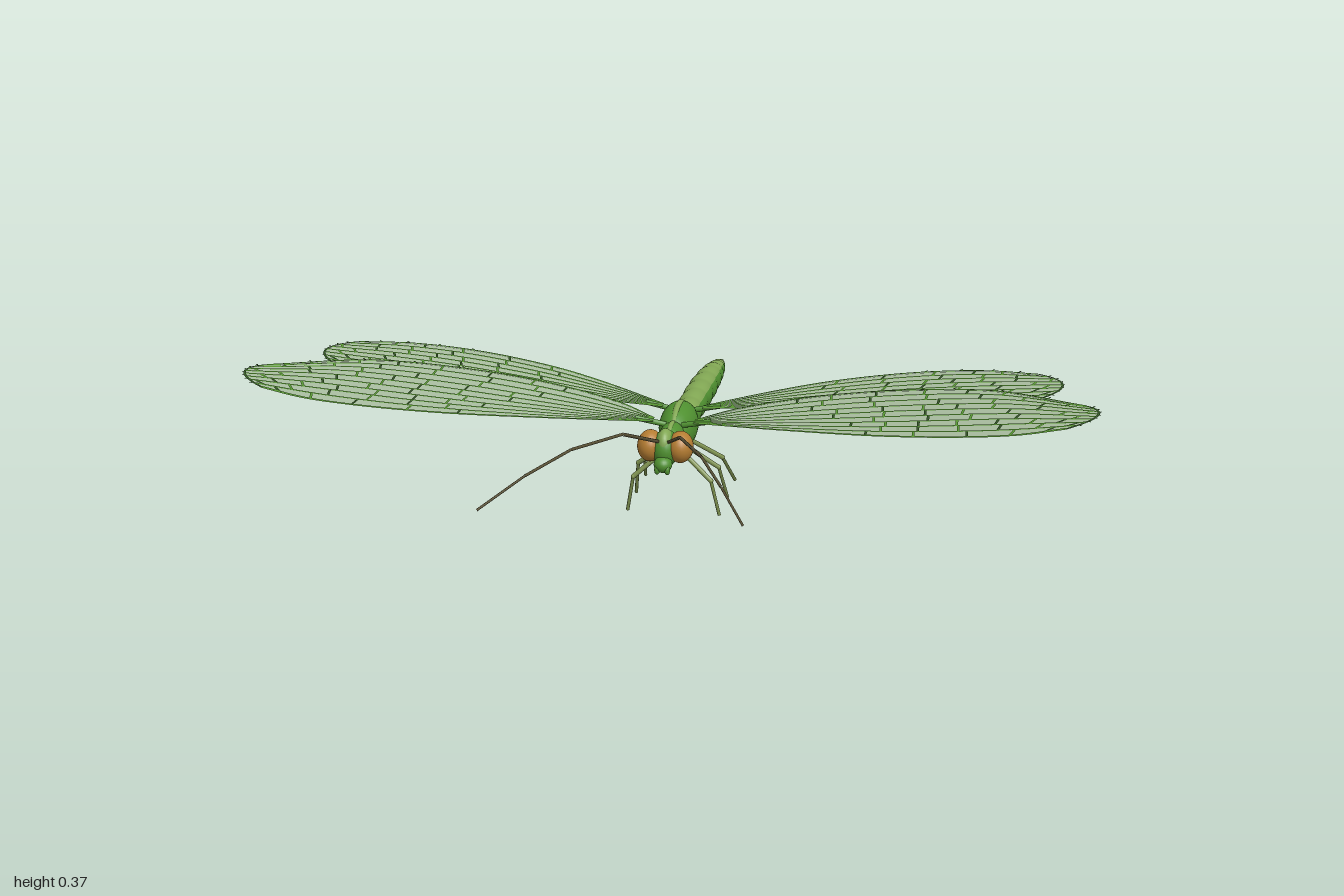
import * as THREE from 'three';
import { mergeGeometries } from 'three/addons/utils/BufferGeometryUtils.js';
import { ParametricGeometry } from 'three/addons/geometries/ParametricGeometry.js';

const V = (x, y, z) => new THREE.Vector3(x, y, z);

function mat(name, color, side = THREE.FrontSide) {
  const m = new THREE.MeshStandardMaterial({ color, side });
  m.name = name;
  return m;
}

// Straight round rod between two points
const rod = (a, b, radius) => new THREE.TubeGeometry(new THREE.LineCurve3(a, b), 1, radius, 8);

// Flat vein lying on both faces of a wing, narrower at its start by the given factor
function ribbon(points, width, taper = 1) {
  const pos = [], index = [], n = points.length;
  for (const face of [1, -1]) {
    const base = pos.length / 3;
    points.forEach((p, i) => {
      const d = points[Math.min(i + 1, n - 1)].clone().sub(points[Math.max(i - 1, 0)]);
      const w = 0.5 * width * Math.min(1, taper + (1 - taper) * 3 * i / (n - 1));
      const side = d.cross(V(0, 1, 0)).setLength(w);
      for (const k of [1, -1]) pos.push(p.x + k * side.x, p.y + face * 0.0018, p.z + k * side.z);
      if (i === n - 1) return;
      const q = base + 2 * i;
      if (face > 0) index.push(q, q + 2, q + 1, q + 1, q + 2, q + 3);
      else index.push(q, q + 1, q + 2, q + 1, q + 3, q + 2);
    });
  }
  const g = new THREE.BufferGeometry();
  g.setAttribute('position', new THREE.Float32BufferAttribute(pos, 3));
  g.setIndex(index);
  g.computeVertexNormals();
  return g;
}

export function createModel() {
  const root = new THREE.Group();
  root.name = 'lacewing';
  const green = mat('leaf green', 0x4f9030);
  const olive = mat('pale olive green', 0x82a854);
  const membrane = mat('pale wing membrane', 0xa9bda0, THREE.DoubleSide);
  const vein = mat('vein green', 0x579632);
  const darkVein = mat('dark vein', 0x2f5022);
  const amber = mat('amber eye', 0xb57d32);
  const brown = mat('dark antenna', 0x5a5236);
  const legGreen = mat('leg olive', 0x809450);

  const add = (name, geo, material, parent = root) => {
    const m = new THREE.Mesh(geo, material);
    m.name = name;
    parent.add(m);
    return m;
  };
  const ball = (name, material, p, s, parent = root) => {
    const m = add(name, new THREE.SphereGeometry(1, 24, 16), material, parent);
    m.position.set(...p);
    m.scale.set(...s);
    return m;
  };

  // Abdomen: segmented taper, with a paler back
  const spine = new THREE.CatmullRomCurve3([
    V(0, 0.19, -0.12), V(0, 0.187, -0.25), V(0, 0.18, -0.42),
    V(0, 0.169, -0.6), V(0, 0.158, -0.72), V(0, 0.151, -0.793)]);
  const girth = new THREE.CatmullRomCurve3([
    V(0.026, 0, 0), V(0.034, 0, 0), V(0.036, 0, 0), V(0.031, 0, 0), V(0.021, 0, 0), V(0.008, 0, 0)]);
  const abdomen = (a0, a1, slices) => new ParametricGeometry((u, v, target) => {
    const a = a0 + (a1 - a0) * u, c = spine.getPoint(v);
    const r = girth.getPoint(v).x * (0.95 + 0.09 * Math.abs(Math.sin(v * Math.PI * 10)));
    target.set(r * Math.sin(a), c.y + r * Math.cos(a), c.z);
  }, slices, 80);
  add('abdomenBack', abdomen(-0.95, 0.95, 10), olive);
  add('abdomen', abdomen(0.95, Math.PI * 2 - 0.95, 18), green);
  ball('tailTip', olive, [0, 0.151, -0.792], [0.0078, 0.0078, 0.008]);

  // Thorax, neck and head
  ball('thorax', green, [0, 0.2, -0.08], [0.047, 0.058, 0.095]);
  ball('thoraxStripe', olive, [0, 0.208, -0.08], [0.019, 0.054, 0.088]);
  ball('prothorax', green, [0, 0.203, 0.025], [0.031, 0.038, 0.055]);
  ball('neckStripe', olive, [0, 0.208, 0.025], [0.014, 0.036, 0.05]);
  ball('head', green, [0, 0.206, 0.11], [0.033, 0.045, 0.043]);
  ball('brow', olive, [0, 0.222, 0.116], [0.02, 0.034, 0.034]);
  ball('muzzle', green, [0, 0.178, 0.145], [0.022, 0.02, 0.024]);

  for (const s of [1, -1]) {
    const side = s > 0 ? 'left' : 'right';
    ball(side + 'Eye', amber, [s * 0.036, 0.212, 0.112], [0.031, 0.038, 0.038]);
    ball(side + 'Palp', green, [s * 0.012, 0.168, 0.157], [0.007, 0.012, 0.009]);

    // Antenna of straight joints, thinning outward
    const joints = [V(0.013, 0.232, 0.14), V(0.066, 0.3, 0.3), V(0.145, 0.323, 0.49),
      V(0.212, 0.314, 0.65), V(0.28, 0.287, 0.8)].map(p => p.setX(s * p.x));
    add(side + 'Antenna', mergeGeometries(joints.slice(1).map((p, i) =>
      rod(joints[i], p, 0.0042 - 0.0005 * i))), brown);

    // Legs: hip, knee and foot
    const legs = [
      ['front', [0.018, 0.165, 0.0], [0.095, 0.098, 0.02], [0.113, 0.004, 0.0]],
      ['middle', [0.022, 0.16, -0.05], [0.1, 0.1, -0.075], [0.115, 0.004, -0.127]],
      ['hind', [0.022, 0.16, -0.1], [0.098, 0.1, -0.15], [0.115, 0.004, -0.257]]];
    for (const [name, ...points] of legs) {
      const [hip, knee, foot] = points.map(([x, y, z]) => V(s * x, y, z));
      const leg = new THREE.Group();
      leg.name = side + name[0].toUpperCase() + name.slice(1) + 'Leg';
      root.add(leg);
      add('thigh', rod(hip, knee, 0.006), legGreen, leg);
      add('shin', rod(knee, foot, 0.0042), legGreen, leg);
      ball('knee', legGreen, knee.toArray(), [0.006, 0.006, 0.006], leg);
    }
  }

  // Wing between a forward and a rear edge, rising outward, with a rounded tip
  function wing(name, s, front, rear, y0, slope, bulge, bands) {
    const group = new THREE.Group();
    group.name = name;
    root.add(group);
    const edge = pts => new THREE.CatmullRomCurve3(pts.map(([x, z]) => V(x, 0, z)));
    const a = edge(front), b = edge(rear);
    const at = (t, w) => {
      const p = a.getPoint(t).lerp(b.getPoint(t), w);
      p.x += bulge * t ** 4 * 4 * w * (1 - w);
      return V(s * p.x, y0 + slope * (p.x - 0.05), p.z);
    };
    add('membrane', new ParametricGeometry((u, v, target) => {
      target.copy(at(s > 0 ? 1 - u : u, 1 - v));
    }, 32, 16), membrane, group);

    // Long veins fanning from the root
    const long = [], dark = [];
    for (let i = 0; i <= bands; i++) {
      const pts = [];
      for (let k = 0; k <= 28; k++) pts.push(at(k / 28, i / bands));
      long.push(ribbon(pts, i === 0 ? 0.011 : 0.008, 0.6));
    }
    // Staggered cross veins, the outer ones partly dark
    for (let i = 0; i < bands; i++) {
      const count = 5 + (i % 3);
      for (let k = 0; k < count; k++) {
        const t = 0.32 + 0.66 * (k + 0.3 + 0.45 * (i % 2) + 0.15 * Math.sin(i * 7 + k * 5)) / count;
        const ends = [at(t, i / bands), at(Math.min(t + 0.02, 1), (i + 1) / bands)];
        ((i + k) % 2 ? long : dark).push(ribbon(ends, 0.006));
      }
    }
    // Dark tip margin with tiny spurs
    const rim = [];
    for (let k = 0; k <= 16; k++) rim.push(at(1, k / 16));
    dark.push(ribbon(rim, 0.006));
    const fan = 0.003 * Math.sign(front[3][1] - rear[3][1]);
    for (let k = 1; k < 8; k++) {
      const p = at(1, k / 8);
      dark.push(ribbon([p, p.clone().add(V(s * 0.006, 0.0007, (4 - k) * fan))], 0.004));
    }
    // Spurs along the outer rear edge
    for (const t of [0.62, 0.72, 0.82, 0.92]) {
      const p = at(t, 1);
      dark.push(ribbon([p, p.clone().add(V(s * 0.008, 0.001, -0.01))], 0.004));
    }
    add('veins', mergeGeometries(long), vein, group);
    add('darkVeins', mergeGeometries(dark), darkVein, group);
    // Fleshy hinge
    add('hinge', rod(V(s * 0.02, y0 - 0.01, a.getPoint(0).z - 0.015), at(0.05, 0.5), 0.007), green, group);
  }

  for (const s of [1, -1]) {
    const side = s > 0 ? 'left' : 'right';
    wing(side + 'Forewing', s,
      [[0.05, 0.005], [0.3, 0.13], [0.52, 0.228], [0.7, 0.283], [0.82, 0.3], [0.925, 0.285]],
      [[0.05, -0.02], [0.15, -0.085], [0.32, -0.125], [0.52, -0.118], [0.75, -0.05], [0.965, 0.13]],
      0.235, 0.145, 0.048, 9);
    wing(side + 'Hindwing', s,
      [[0.05, -0.135], [0.25, -0.105], [0.45, -0.08], [0.62, -0.065], [0.75, -0.06], [0.87, -0.075]],
      [[0.05, -0.155], [0.2, -0.24], [0.36, -0.308], [0.56, -0.342], [0.73, -0.325], [0.86, -0.27]],
      0.228, 0.108, 0.052, 8);
  }
  return root;
}
